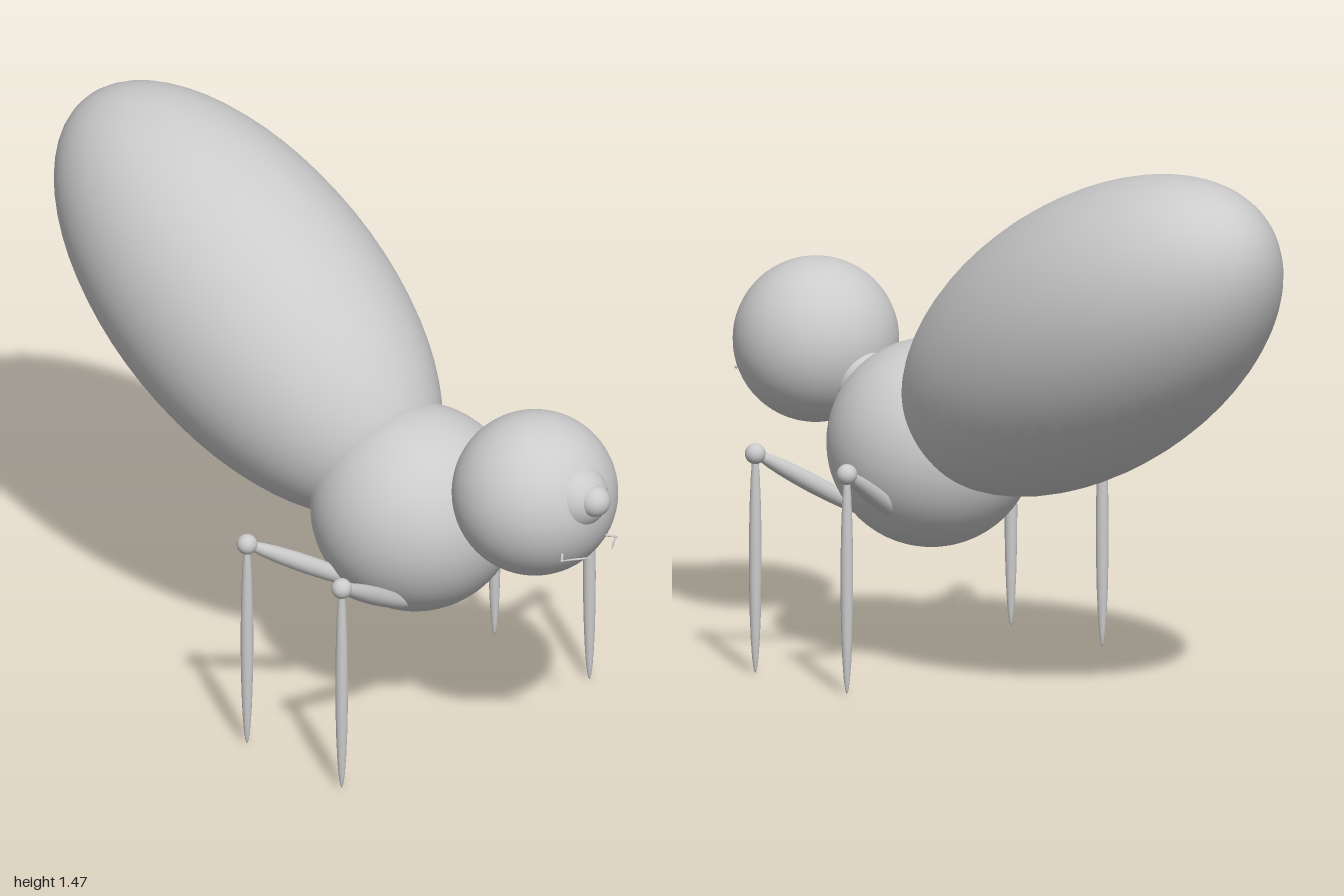
import * as THREE from 'three';

const material = new THREE.MeshStandardMaterial({ color: 0xcccccc });
const V = (x, y, z) => new THREE.Vector3(x, y, z);
const UP = V(0, 1, 0);
const MID = 0.015; // body centre line

export function createModel() {
  const root = new THREE.Group();

  function add(name, geometry, position, parent = root) {
    const mesh = new THREE.Mesh(geometry, material);
    mesh.name = name;
    mesh.position.copy(position);
    parent.add(mesh);
    return mesh;
  }

  const ball = (name, r, position, parent, segments = 64) =>
    add(name, new THREE.SphereGeometry(r, segments, segments / 2), position, parent);

  // Slim ellipsoid stretched from a to b
  function spindle(name, a, b, r, parent, segments = 24) {
    const mesh = ball(name, 1, a.clone().lerp(b, 0.5), parent, segments);
    mesh.scale.set(r, a.distanceTo(b) / 2, r);
    mesh.quaternion.setFromUnitVectors(UP, b.clone().sub(a).normalize());
    return mesh;
  }

  // Body
  const thorax = V(MID, 0.6, 0.275);
  const head = V(MID, 0.81, 0.73);
  ball('thorax', 0.28, thorax);
  ball('head', 0.222, head);

  // Abdomen rises to the back at 31 degrees
  const tilt = THREE.MathUtils.degToRad(31);
  const centre = V(MID, 0.99, -0.36);
  const half = V(0, Math.sin(tilt), -Math.cos(tilt)).multiplyScalar(0.713);
  spindle('abdomen', centre.clone().sub(half), centre.clone().add(half), 0.365, root, 64);

  // Neck
  const neck = add('neck', new THREE.CylinderGeometry(0.085, 0.085, 0.18, 40), V(MID, 0.72, 0.525));
  neck.quaternion.setFromUnitVectors(UP, head.clone().sub(thorax).normalize());

  // Snout
  ball('snout', 0.088, V(MID, 0.857, 0.885), root, 40);
  ball('snoutTip', 0.043, V(MID, 0.868, 0.957), root, 32);

  // Small jointed pincers under the snout
  for (const side of [1, -1]) {
    const pincer = new THREE.Group();
    pincer.name = side > 0 ? 'leftPincer' : 'rightPincer';
    root.add(pincer);
    const base = V(MID + side * 0.065, 0.726, 0.9);
    const elbow = V(MID + side * 0.1, 0.716, 0.935);
    const tip = V(MID + side * 0.035, 0.721, 0.986);
    spindle('pincerBase', base, elbow, 0.004, pincer, 12);
    ball('pincerJoint', 0.005, elbow, pincer, 12);
    spindle('pincerTip', elbow, tip, 0.003, pincer, 12);
  }

  // Four legs: side, knee z, hip z
  const legs = [
    ['leftFrontLeg', 1, 0.488, 0.395],
    ['leftHindLeg', 1, 0.127, 0.25],
    ['rightFrontLeg', -1, 0.475, 0.385],
    ['rightHindLeg', -1, 0.115, 0.24],
  ];
  for (const [name, side, kneeZ, hipZ] of legs) {
    const leg = new THREE.Group();
    leg.name = name;
    root.add(leg);
    const knee = V(side * 0.456, 0.598, kneeZ);
    spindle('upperLeg', V(side * 0.11, 0.392, hipZ), V(side * 0.47, 0.607, kneeZ), 0.025, leg);
    ball('knee', 0.028, knee, leg, 24);
    spindle('lowerLeg', V(knee.x, 0, kneeZ), V(knee.x, 0.626, kneeZ), 0.017, leg);
  }

  return root;
}
